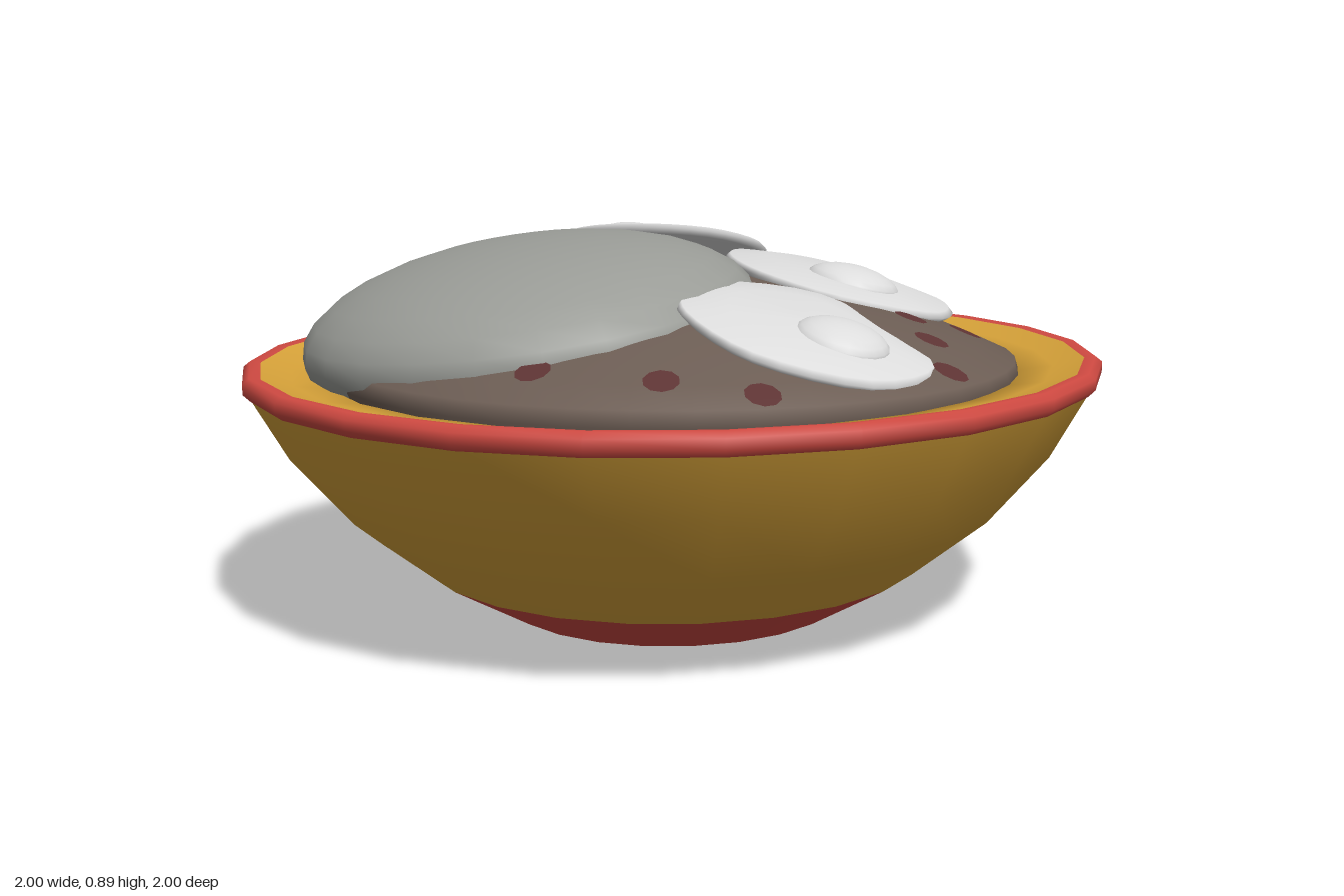
import * as THREE from 'three';

const mat = (name, color) => {
  const m = new THREE.MeshStandardMaterial({ color });
  m.name = name;
  return m;
};

export function createModel() {
  const yellow = mat('yellow glaze', 0xd9a43a);
  const red = mat('red trim', 0xd04a42);
  const brown = mat('brown sauce', 0x6c5d54);
  const maroon = mat('maroon beans', 0x5e3434);
  const grey = mat('grey rice', 0x9a9c97);
  const white = mat('pale egg', 0xdcdcdc);

  const model = new THREE.Group();
  model.name = 'bowlOfFood';
  const add = (parent, name, geometry, material) => {
    const mesh = new THREE.Mesh(geometry, material);
    mesh.name = name;
    parent.add(mesh);
    return mesh;
  };
  const lathe = (points, sides) =>
    new THREE.LatheGeometry(points.map(([x, y]) => new THREE.Vector2(x, y)), sides);

  // Bowl, leaning very slightly to one side
  const bowl = new THREE.Group();
  bowl.name = 'bowl';
  bowl.rotation.z = 0.012;
  bowl.position.y = 0.005;
  model.add(bowl);
  const bowlParts = [
    ['baseDisc', red, [[0, 0], [0.28, 0]]],
    ['footRing', yellow, [[0.28, 0], [0.41, 0]]],
    ['baseBand', red, [[0.41, 0], [0.6, 0.112]]],
    ['outerWall', yellow, [[0.6, 0.112], [0.77, 0.25], [0.905, 0.41], [0.985, 0.555]]],
    ['rim', red, [[0.985, 0.55], [1, 0.565], [1, 0.588], [0.985, 0.6], [0.96, 0.597]]],
    ['innerWall', yellow, [[0.96, 0.597], [0.89, 0.577], [0.81, 0.565], [0.74, 0.45]]],
  ];
  for (const [name, material, points] of bowlParts) add(bowl, name, lathe(points, 24), material);

  // Sauce mound filling the bowl
  const moundHeight = (x, z) => 0.79 - 0.29 * (x * x + z * z);
  const mound = [[0.78, 0.5], [0.81, 0.57]];
  for (let i = 0; i <= 10; i++) {
    const r = 0.8 * (1 - i / 10);
    mound.push([r, moundHeight(r, 0)]);
  }
  add(model, 'sauceMound', lathe(mound, 40), brown);

  // Bean spots laid on the mound
  const beans = [
    [0, -0.775], [0.09, -0.7], [0.25, -0.74], [0.2, -0.68], [0.445, -0.61], [0.525, -0.465],
    [0.615, -0.355], [0.7, -0.21], [0.765, 0.085], [0.615, 0.3], [0.455, 0.33], [0.42, 0.49],
    [0.375, 0.655], [0.145, 0.225], [-0.49, 0.49], [-0.275, 0.655], [-0.1, 0.755], [-0.25, -0.73],
  ];
  for (const [x, z] of beans) {
    const geometry = new THREE.CircleGeometry(0.038, 10).rotateX(-Math.PI / 2).translate(x, 0, z);
    const p = geometry.attributes.position;
    for (let i = 0; i < p.count; i++) p.setY(i, moundHeight(p.getX(i), p.getZ(i)) + 0.005);
    geometry.computeVertexNormals();
    add(model, 'bean', geometry, maroon);
  }

  // Rice dome, tipped up toward the middle of the bowl
  const rice = add(model, 'riceDome', new THREE.SphereGeometry(1, 24, 16), grey);
  rice.scale.set(0.535, 0.205, 0.6);
  rice.rotation.z = 0.15;
  rice.position.set(-0.325, 0.67, -0.1);

  // Egg white: one wavy outline swept through rings, sloped along a plane
  const rings = [[0, -0.01], [0.6, -0.015], [0.95, -0.012], [1, 0], [0.96, 0.012], [0.6, 0.03], [0, 0.036]];
  const eggWhite = (outline, [cx, cz], planeHeight) => {
    const curve = new THREE.CatmullRomCurve3(
      outline.map(([x, z]) => new THREE.Vector3(x, 0, z)), true, 'centripetal');
    const n = 32;
    const loop = curve.getPoints(n).slice(0, n);
    const positions = [];
    const index = [];
    rings.forEach(([s, lift], k) => {
      loop.forEach((p, i) => {
        const x = cx + (p.x - cx) * s;
        const z = cz + (p.z - cz) * s;
        positions.push(x, planeHeight(x, z) + lift, z);
        if (k === rings.length - 1) return;
        const a = k * n + i;
        const b = k * n + (i + 1) % n;
        index.push(b, a, a + n, b, a + n, b + n);
      });
    });
    const geometry = new THREE.BufferGeometry();
    geometry.setAttribute('position', new THREE.Float32BufferAttribute(positions, 3));
    geometry.setIndex(index);
    geometry.computeVertexNormals();
    return geometry;
  };

  const eggs = [
    {
      name: 'frontEgg', centre: [0.11, 0.5], height: 0.7, slope: [-0.15, -0.27],
      yolk: [0.16, 0.57], radius: 0.106,
      outline: [[0, 0.24], [0.27, 0.24], [0.36, 0.46], [0.355, 0.64], [0.14, 0.76],
        [-0.09, 0.67], [-0.16, 0.47], [-0.12, 0.35]],
    },
    {
      name: 'leftEgg', centre: [0.44, -0.02], height: 0.745, slope: [-0.21, -0.12],
      yolk: [0.43, 0.08], radius: 0.115,
      outline: [[0.3, -0.28], [0.47, -0.32], [0.63, -0.25], [0.735, -0.05], [0.68, 0.13],
        [0.54, 0.27], [0.29, 0.27], [0.18, 0.13], [0.16, 0], [0.2, -0.16]],
    },
    {
      name: 'backEgg', centre: [0.13, -0.43], height: 0.81, slope: [-0.15, 0.25],
      yolk: [0.06, -0.47], radius: 0.105,
      outline: [[-0.02, -0.68], [0.2, -0.69], [0.38, -0.57], [0.4, -0.38], [0.33, -0.24],
        [0.17, -0.17], [0, -0.22], [-0.12, -0.35], [-0.13, -0.54]],
    },
  ];
  const up = new THREE.Vector3(0, 1, 0);
  for (const { name, centre, height, slope, yolk, radius, outline } of eggs) {
    const egg = new THREE.Group();
    egg.name = name;
    model.add(egg);
    const plane = (x, z) => height + slope[0] * (x - centre[0]) + slope[1] * (z - centre[1]);
    add(egg, 'eggWhite', eggWhite(outline, centre, plane), white);
    // Yolk: flattened ball lying on the same slope
    const ball = add(egg, 'yolk', new THREE.SphereGeometry(radius, 20, 12), white);
    ball.scale.y = 0.42;
    ball.position.set(yolk[0], plane(...yolk) + 0.018, yolk[1]);
    ball.quaternion.setFromUnitVectors(up, new THREE.Vector3(-slope[0], 1, -slope[1]).normalize());
  }
  return model;
}
